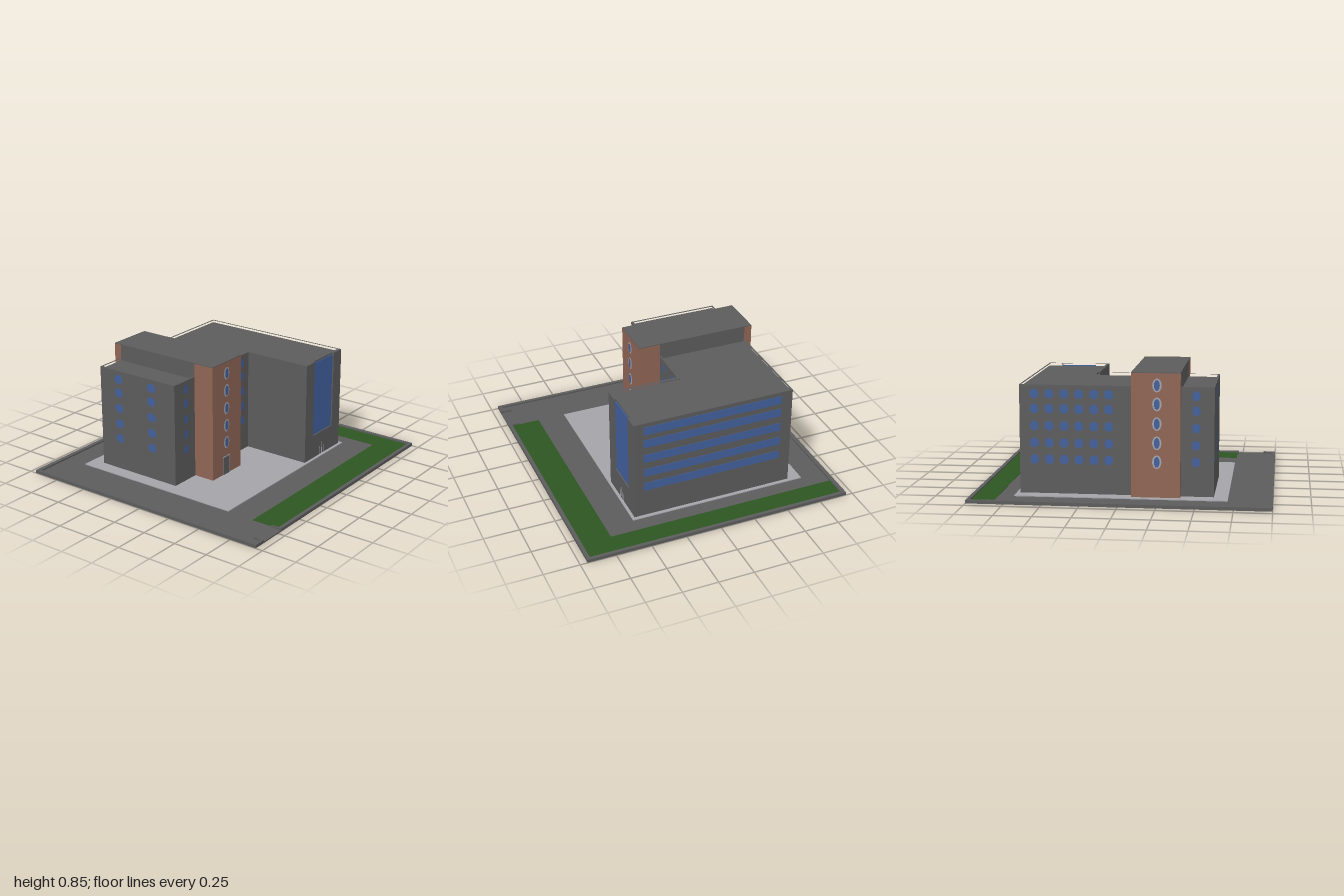
import * as THREE from 'three';

const mat = (name, color) => {
  const m = new THREE.MeshStandardMaterial({ color });
  m.name = name;
  return m;
};

export function createModel() {
  const gray = mat('darkGray', 0x5c5c5c);
  const paving = mat('lightPaving', 0xa4a4a9);
  const grass = mat('grassGreen', 0x2c5621);
  const brick = mat('brickBrown', 0x906555);
  const glass = mat('windowBlue', 0x42609c);
  const root = new THREE.Group();
  root.name = 'officeBuilding';

  const add = (name, geo, material, parent = root) => {
    const mesh = new THREE.Mesh(geo, material);
    mesh.name = name;
    parent.add(mesh);
    return mesh;
  };
  // box given by its limits on each axis
  const box = (name, [x0, x1], [y0, y1], [z0, z1], material, parent) =>
    add(name, new THREE.BoxGeometry(x1 - x0, y1 - y0, z1 - z0), material, parent)
      .position.set((x0 + x1) / 2, (y0 + y1) / 2, (z0 + z1) / 2);
  // vertical extrusion of a plan outline of [x, z] points
  const slab = (name, plan, y0, y1, material, hole) => {
    const pts = list => list.map(([x, z]) => new THREE.Vector2(x, -z));
    const shape = new THREE.Shape(pts(plan));
    if (hole) shape.holes.push(new THREE.Path(pts(hole)));
    const geo = new THREE.ExtrudeGeometry(shape, { depth: y1 - y0, bevelEnabled: false });
    geo.rotateX(-Math.PI / 2).translate(0, y0, 0);
    return add(name, geo, material);
  };
  const rect = (x0, x1, z0, z1) => [[x0, z0], [x1, z0], [x1, z1], [x0, z1]];
  // thin oval plate facing the direction given by a turn about y
  const oval = (name, x, y, z, w, h, turn, material, parent) => {
    const mesh = add(name, new THREE.CircleGeometry(0.5, 16), material, parent);
    mesh.scale.set(w, h, 1);
    mesh.rotation.y = turn;
    mesh.position.set(x, y, z);
  };
  const RIGHT = Math.PI / 2, LEFT = -Math.PI / 2;

  // Site: road, lawn, paving and curb
  const pavingPlan = rect(-0.75, 0.52, -0.715, 0.705);
  slab('road', [[-0.92, -0.82], [0.72, -0.82], [0.72, 0.71], [0.925, 0.71], [0.925, 0.975], [-0.92, 0.975]],
    0, 0.01, gray, pavingPlan);
  slab('lawn', [[-0.92, -0.975], [0.925, -0.975], [0.925, 0.71], [0.72, 0.71], [0.72, -0.82], [-0.92, -0.82]],
    0, 0.012, grass);
  slab('paving', pavingPlan, 0, 0.016, paving);
  slab('curb', [
    [0.95, 0.72], [0.95, -1], [-0.95, -1], [-0.95, 1], [0.95, 1], [0.95, 0.91],
    [0.925, 0.91], [0.925, 0.975], [-0.92, 0.975], [-0.92, -0.975], [0.925, -0.975], [0.925, 0.72],
  ], 0, 0.022, gray);
  box('driveway', [0.925, 0.95], [0, 0.01], [0.72, 0.91], gray);
  for (const z of [0.715, 0.915]) box('gateCurb', [0.87, 0.95], [0.002, 0.022], [z - 0.005, z + 0.005], gray);

  // Main block: L-shaped plan, with a glazed recess in the right wall
  const X0 = -0.655, X1 = 0.5, ZB = -0.69, ZF = 0.61, ZW = -0.24;
  const lower = [[X0, ZB], [X1, ZB], [X1, ZW], [0, ZW], [0, ZF], [X0, ZF]];
  const upper = [[X0, ZB], [X1, ZB], [X1, -0.59], [0.485, -0.59], [0.485, -0.34], [X1, -0.34],
    [X1, ZW], [0, ZW], [0, ZF], [X0, ZF]];
  const t = 0.014;
  const roofHole = [[X0 + t, ZB + t], [0.475, ZB + t], [0.475, ZW - t - 0.005], [-t, ZW - t - 0.005],
    [-t, ZF - t], [X0 + t, ZF - t]];
  slab('lowerWalls', lower, 0.01, 0.19, gray);
  slab('upperWalls', upper, 0.19, 0.73, gray);
  slab('parapet', upper, 0.73, 0.75, gray, roofHole);
  box('glassWall', [0.485, 0.491], [0.19, 0.737], [-0.59, -0.34], glass);

  // Stair tower crossing the block, with brick ends
  const tz = [0.065, 0.39];
  box('towerMiddle', [X0, 0], [0.7, 0.85], tz, gray);
  const ends = [[-0.71, X0], [0, 0.155]];
  for (const e of ends) {
    box('towerEnd', e, [0.01, 0.845], tz, brick);
    box('towerEndRoof', e, [0.845, 0.85], tz, gray);
  }
  box('towerFootPlate', [-0.71, X0], [-0.001, 0.001], tz, brick);

  // Windows on every storey
  const windows = new THREE.Group();
  windows.name = 'windows';
  root.add(windows);
  const d = 0.003;
  for (const y of [0.69, 0.59, 0.475, 0.36, 0.248]) {
    oval('frontWindow', -0.49, y, ZF + d, 0.068, 0.066, 0, glass, windows);
    oval('frontWindow', -0.2, y, ZF + d, 0.072, 0.066, 0, glass, windows);
    for (const z of [0.49, -0.01, -0.165]) oval('rightWindow', d, y, z, 0.042, 0.066, RIGHT, glass, windows);
    oval('leftWindow', X0 - d, y, 0.49, 0.055, 0.066, LEFT, glass, windows);
    for (let i = 0; i < 6; i++)
      oval('leftWindow', X0 - d, y, -0.59 + i * 0.1, 0.06, 0.066, LEFT, glass, windows);
    box('backWindowBand', [-0.575, 0.43], [y - 0.03, y + 0.03], [ZB - d, ZB + d], glass, windows);
  }
  for (const y of [0.765, 0.64, 0.51, 0.382, 0.255]) {
    for (const [x, s, turn] of [[0.155, 1, RIGHT], [-0.71, -1, LEFT]]) {
      oval('towerWindowFrame', x + s * d, y, 0.235, 0.062, 0.092, turn, paving, windows);
      oval('towerWindow', x + s * 2 * d, y, 0.235, 0.038, 0.072, turn, glass, windows);
    }
  }

  // Doors
  box('towerDoorFrame', [0.152, 0.157], [0.016, 0.152], [0.195, 0.275], paving);
  box('towerDoor', [0.152, 0.159], [0.016, 0.146], [0.203, 0.273], gray);
  for (const z of [-0.49, -0.46, -0.43])
    box('sideDoorFrame', [0.498, 0.502], [0.016, z === -0.46 ? 0.11 : 0.075], [z - 0.003, z + 0.003], paving);

  return root;
}
